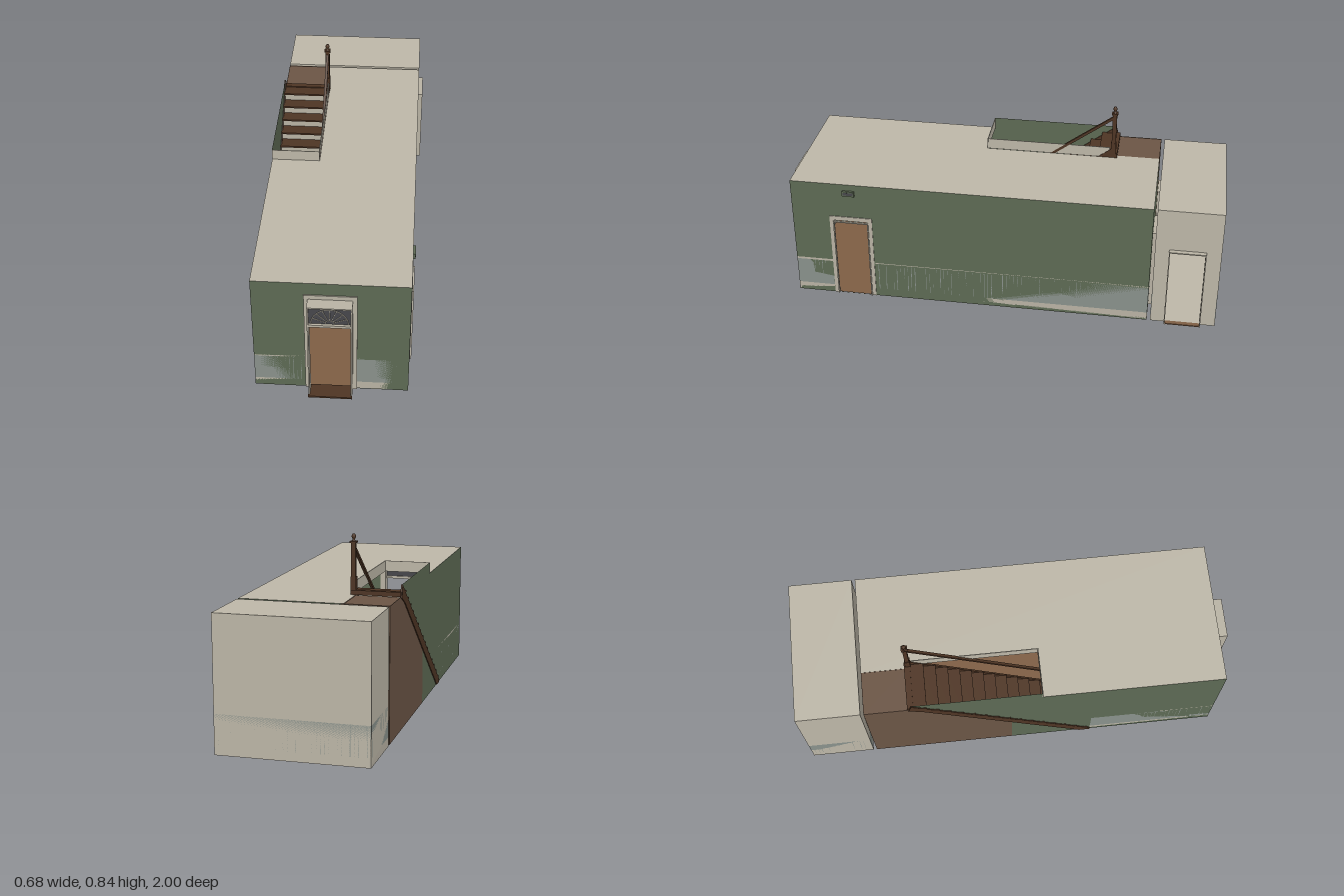
import * as THREE from 'three';

const mat = (c) => new THREE.MeshStandardMaterial({ color: c, side: THREE.DoubleSide });
const GREEN = mat(0x5d6a54), CREAM = mat(0xbdb7a8), TRIM = mat(0xb9b3a4), PANEL = mat(0x89918b);
const FLOOR = mat(0x7d5d43), CLOSET = mat(0x6b5545), WOOD = mat(0x4e3524), GLASS = mat(0x47474b);

// Extents of the hall and of the back room
const L = -0.335, R = 0.315, F = 0.935, HB = -0.69, RF = -0.705, RB = -0.995, H = 0.585;
const rect = (a, b, c, d) => [[a, b], [c, b], [c, d], [a, d]];

export function createModel() {
  const root = new THREE.Group();

  function add(name, geo, m, x = 0, y = 0, z = 0, parent = root) {
    const mesh = new THREE.Mesh(geo, m);
    mesh.name = name;
    mesh.position.set(x, y, z);
    parent.add(mesh);
    return mesh;
  }
  // Box from its two corners
  const box = (name, m, x0, x1, y0, y1, z0, z1, parent = root) =>
    add(name, new THREE.BoxGeometry(x1 - x0, y1 - y0, Math.abs(z1 - z0)), m,
      (x0 + x1) / 2, (y0 + y1) / 2, (z0 + z1) / 2, parent);

  // Group whose local XY plane lies on a wall: across x, or along z
  function plane(name, axis, at) {
    const g = new THREE.Group();
    g.name = name;
    if (axis === 'x') { g.rotation.y = -Math.PI / 2; g.position.x = at; } else g.position.z = at;
    root.add(g);
    return g;
  }
  const toShape = (pts) => new THREE.Shape(pts.map((p) => new THREE.Vector2(p[0], p[1])));
  function sheet(name, g, m, pts, hole) {
    const s = toShape(pts);
    if (hole) s.holes.push(toShape(hole));
    return add(name, new THREE.ShapeGeometry(s), m, 0, 0, 0, g);
  }
  function flat(name, m, y, pts) {
    const f = sheet(name, root, m, pts);
    f.rotation.x = Math.PI / 2;
    f.position.y = y;
  }
  // Two posts and a head around an opening
  function frame(name, g, u0, u1, top, w, d0, d1) {
    box(name + 'Post', TRIM, u0 - w, u0, 0, top, d0, d1, g);
    box(name + 'Post', TRIM, u1, u1 + w, 0, top, d0, d1, g);
    box(name + 'Head', TRIM, u0 - w, u1 + w, top, top + w, d0, d1, g);
  }
  // Baseboard, boarded panel and chair rail; s is the side facing the room
  function wainscot(g, u0, u1, s) {
    box('baseboard', TRIM, u0, u1, 0.003, 0.04, 0, s * 0.008, g);
    box('wainscotPanel', PANEL, u0, u1, 0.04, 0.172, 0, s * 0.003, g);
    box('chairRail', TRIM, u0, u1, 0.17, 0.18, 0, s * 0.01, g);
    const n = Math.max(1, Math.round((u1 - u0) / 0.017));
    for (let i = 1; i < n; i++) {
      const u = u0 + (u1 - u0) * i / n;
      box('wainscotBatten', PANEL, u - 0.0015, u + 0.0015, 0.04, 0.172, 0, s * 0.005, g);
    }
  }

  // Floors and ceilings; the hall ceiling is notched for the stairs
  flat('hallFloor', FLOOR, 0.003, [[L, F], [R, F], [R, HB], [-0.13, HB], [-0.13, -0.03], [L, -0.03]]);
  flat('closetFloor', CREAM, 0.003, rect(L, HB, -0.13, -0.03));
  flat('roomFloor', CREAM, 0.003, rect(L, RB, R, RF));
  flat('hallCeiling', CREAM, H, [[L, F], [R, F], [R, HB], [-0.14, HB], [-0.14, -0.49], [-0.12, -0.49], [-0.12, 0.11], [L, 0.11]]);
  flat('closetTop', CLOSET, H - 0.002, rect(L, HB, -0.14, -0.49));
  flat('roomCeiling', CREAM, H, rect(L, RB, R, RF));

  // Front wall with its entrance
  const front = plane('frontWall', 'z', F);
  sheet('frontWallSheet', front, GREEN, rect(L, 0, R, H), rect(-0.1, 0.001, 0.08, 0.5));
  frame('entranceCasing', front, -0.1, 0.078, 0.505, 0.02, -0.008, 0.005);
  frame('entranceJamb', front, -0.098, 0.074, 0.497, 0.006, 0, 0.055);
  box('threshold', WOOD, -0.105, 0.08, 0, 0.008, -0.005, 0.065, front);
  box('transomBar', TRIM, -0.098, 0.074, 0.395, 0.407, 0.03, 0.052, front);
  wainscot(front, L, -0.12, -1);
  wainscot(front, 0.098, R, -1);

  // Fanlight: dark glass, arches and radiating bars
  box('fanlightGlass', GLASS, -0.098, 0.074, 0.405, 0.497, 0.038, 0.041, front);
  for (const [r, t] of [[0.076, 0.002], [0.018, 0.0015]])
    add('fanlightArch', new THREE.TorusGeometry(r, t, 6, 28, Math.PI), TRIM, -0.012, 0.409, 0.043, front);
  for (let i = 1; i < 8; i++) {
    const a = Math.PI * i / 8;
    const bar = add('fanlightBar', new THREE.BoxGeometry(0.058, 0.002, 0.003), TRIM,
      -0.012 + Math.cos(a) * 0.047, 0.409 + Math.sin(a) * 0.047, 0.043, front);
    bar.rotation.z = a;
  }

  // Left hall wall with side door and vent
  const side = plane('sideWall', 'x', R);
  sheet('sideWallSheet', side, GREEN, rect(HB, 0, F, H), rect(0.585, 0.001, 0.745, 0.395));
  frame('sideDoorCasing', side, 0.587, 0.743, 0.398, 0.02, -0.003, 0.008);
  frame('sideDoorJamb', side, 0.589, 0.741, 0.389, 0.005, -0.009, 0);
  box('vent', GREEN, 0.64, 0.695, 0.53, 0.555, -0.01, 0, side);
  box('ventSlot', GLASS, 0.645, 0.69, 0.536, 0.549, -0.011, -0.01, side);
  wainscot(side, HB, 0.565, 1);
  wainscot(side, 0.765, F, 1);

  // Stair wall, green above the flight and brown along the closet
  const line = (z) => 0.63 - 0.75 * (z + 0.47);
  const stairWall = plane('stairWall', 'x', L);
  sheet('stairWallSheet', stairWall, GREEN, [[F, 0], [F, H], [0.11, H], [0.11, 0.635], [-0.475, 0.635], [-0.03, line(-0.03) - 0.03], [-0.03, 0]]);
  wainscot(stairWall, 0.35, F, -1);
  const closetSide = [[HB, 0], [HB, H], [-0.44, H], [-0.03, line(-0.03) - 0.03], [-0.03, 0]];
  sheet('closetOuterSide', stairWall, CLOSET, closetSide);
  sheet('closetInnerSide', plane('closetInner', 'x', -0.13), CLOSET, closetSide);
  sheet('closetFront', plane('closetFrontWall', 'z', -0.03), CLOSET, rect(L, 0, -0.13, 0.27));

  // Back hall wall, with its doorway and the closet door
  const back = plane('hallBackWall', 'z', HB);
  sheet('hallBackSheet', back, GREEN, rect(-0.13, 0, R, H), rect(0.04, 0.001, 0.19, 0.385));
  sheet('closetBack', back, CLOSET, rect(L, 0, -0.13, H));
  frame('backDoorCasing', back, 0.04, 0.19, 0.385, 0.018, 0, 0.01);
  frame('backDoorJamb', back, 0.043, 0.187, 0.382, 0.005, -0.015, 0);
  frame('closetDoorFrame', back, -0.285, -0.185, 0.38, 0.006, -0.014, -0.001);
  wainscot(back, -0.13, 0.022, 1);
  wainscot(back, 0.208, R, 1);

  // Back room
  const roomFront = plane('roomFrontWall', 'z', RF);
  sheet('roomFrontSheet', roomFront, CREAM, rect(L, 0, R, H), rect(0.04, 0.001, 0.19, 0.385));
  frame('roomFrontCasing', roomFront, 0.04, 0.19, 0.385, 0.018, -0.008, 0);
  wainscot(roomFront, L, 0.022, -1);
  wainscot(roomFront, 0.208, R, -1);
  const roomBack = plane('roomBackWall', 'z', RB);
  sheet('roomBackSheet', roomBack, CREAM, rect(L, 0, R, H));
  wainscot(roomBack, L, R, 1);
  const roomRight = plane('roomRightWall', 'x', L);
  sheet('roomRightSheet', roomRight, CREAM, rect(RB, 0, RF, H));
  wainscot(roomRight, RB, RF, -1);
  const roomLeft = plane('roomLeftWall', 'x', R);
  sheet('roomLeftSheet', roomLeft, CREAM, rect(RB, 0, RF, H), rect(-0.925, 0.001, -0.772, 0.382));
  frame('roomDoorJamb', roomLeft, -0.925, -0.772, 0.382, 0.005, -0.022, 0);
  frame('roomDoorCasing', roomLeft, -0.925, -0.772, 0.385, 0.018, 0.001, 0.01);
  box('roomDoorSill', FLOOR, -0.925, -0.772, 0, 0.005, -0.02, 0.002, roomLeft);

  // Upstand around the stair opening
  box('upstandFront', CREAM, L, -0.12, H, 0.635, 0.107, 0.11);
  box('upstandSide', CREAM, -0.124, -0.121, H, 0.635, -0.46, 0.11);

  // Stairs: treads, risers, stringers and top nosing
  const N = 15, run = 0.8 / N, rise = 0.6 / N;
  for (let i = 0; i < N; i++) {
    const z = 0.33 - i * run, y = (i + 1) * rise;
    box('tread', WOOD, L - 0.004, -0.128, y - 0.008, y, z - run, z + 0.008);
    box('riser', TRIM, L + 0.002, -0.132, y - rise, y - 0.008, z - 0.003, z);
  }
  for (const x of [L + 0.004, -0.119]) {
    const g = new THREE.ExtrudeGeometry(
      toShape([[0.35, 0], [0.35, line(0.35) + 0.005], [-0.475, 0.635], [-0.49, 0.58], [-0.43, 0.55], [0.3, 0]]),
      { depth: 0.008, bevelEnabled: false });
    add('stringer', g, WOOD, x, 0, 0).rotation.y = -Math.PI / 2;
  }
  box('topNosing', WOOD, L, -0.118, 0.585, 0.605, -0.495, -0.468);

  // Newel posts with cap and knob
  function newel(y0, z) {
    const x = -0.127, g = new THREE.Group();
    g.name = 'newelPost';
    g.position.set(x, y0, z);
    root.add(g);
    box('newelBase', WOOD, -0.012, 0.012, 0, 0.06, -0.012, 0.012, g);
    box('newelShaft', WOOD, -0.0095, 0.0095, 0.06, 0.205, -0.0095, 0.0095, g);
    box('newelCap', WOOD, -0.014, 0.014, 0.205, 0.212, -0.014, 0.014, g);
    const knob = [[0.011, 0.21], [0.005, 0.217], [0.005, 0.221], [0.009, 0.228], [0.009, 0.235], [0.005, 0.242], [0, 0.244]];
    add('newelKnob', new THREE.LatheGeometry(knob.map((p) => new THREE.Vector2(...p)), 16), WOOD, 0, 0, 0, g);
  }
  newel(0.6, -0.477);
  newel(0, 0.345);

  // Handrail between the newels
  const rail = add('handrail', new THREE.BoxGeometry(0.012, 0.012, Math.hypot(0.822, 0.6)), WOOD, -0.127, 0.49, -0.066);
  rail.rotation.x = Math.atan2(0.6, 0.822);
  return root;
}
